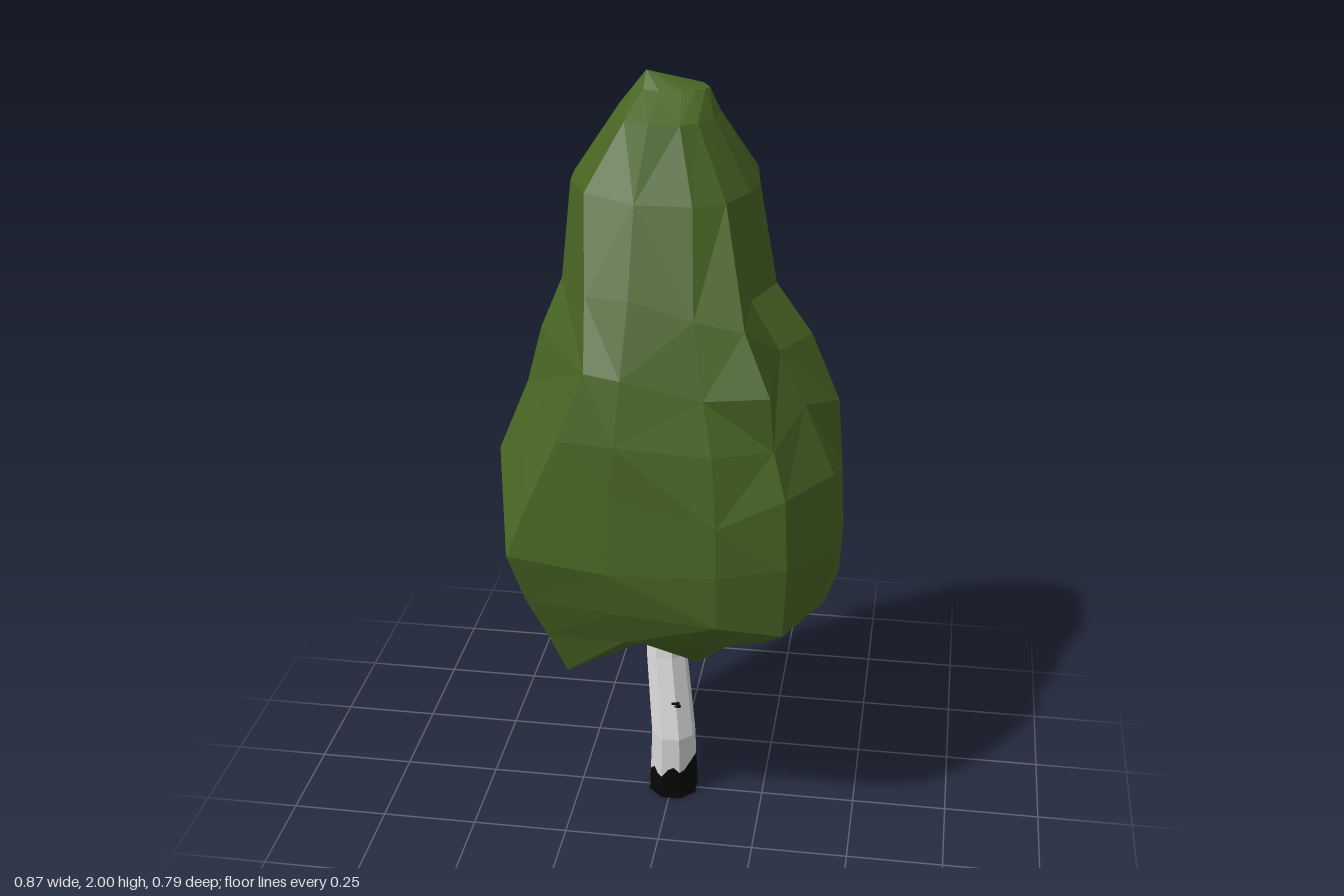
import * as THREE from 'three';

const foliage = new THREE.MeshStandardMaterial({ color: 0x486624 });
const bark = new THREE.MeshStandardMaterial({ color: 0xdadada });
const darkBark = new THREE.MeshStandardMaterial({ color: 0x060606 });
foliage.name = 'leaf green';
bark.name = 'pale bark';
darkBark.name = 'black bark';

// Repeatable noise in -1..1
const noise = (a, b) => {
  const s = Math.sin(a * 12.99 + b * 78.23) * 43758.55;
  return (s - Math.floor(s)) * 2 - 1;
};

// Faceted skin over rings of points, listed bottom to top; optional end points close it
function skin(rings, bottom, top) {
  const pos = [];
  const tri = (a, b, c) => pos.push(...a, ...b, ...c);
  const n = rings[0].length;
  for (let i = 0; i < n; i++) {
    const k = (i + 1) % n;
    for (let j = 0; j < rings.length - 1; j++) {
      const a = rings[j][i], b = rings[j][k], c = rings[j + 1][i], d = rings[j + 1][k];
      if (noise(i, j + 7) > 0) { tri(a, c, b); tri(b, c, d); }
      else { tri(a, c, d); tri(a, d, b); }
    }
    if (bottom) tri(rings[0][i], rings[0][k], bottom);
    if (top) tri(rings[rings.length - 1][k], rings[rings.length - 1][i], top);
  }
  const g = new THREE.BufferGeometry();
  g.setAttribute('position', new THREE.Float32BufferAttribute(pos, 3));
  g.computeVertexNormals(); // unshared corners give flat facets
  return g;
}

function named(name, geometry, material) {
  const m = new THREE.Mesh(geometry, material);
  m.name = name;
  return m;
}

// Crown: one lopsided plan outline, fitted to the reach of each level
const outline = [
  [-0.44, 0.08], [-0.43, -0.06], [-0.29, -0.25], [-0.17, -0.365], [0.03, -0.4],
  [0.19, -0.355], [0.35, -0.23], [0.435, -0.02], [0.425, 0.15], [0.335, 0.34],
  [0.165, 0.395], [-0.1, 0.39], [-0.35, 0.375],
];
// height, reach to -x, +x, +z, -z, roundness
const levels = [
  [0.58, 0.20, 0.20, 0.20, 0.22, 0.5],
  [0.64, 0.33, 0.36, 0.33, 0.33, 0.3],
  [0.72, 0.41, 0.43, 0.375, 0.37, 0.1],
  [0.87, 0.43, 0.435, 0.395, 0.39, 0],
  [1.04, 0.435, 0.43, 0.395, 0.375, 0.4],
  [1.20, 0.36, 0.42, 0.395, 0.345, 0.7],
  [1.34, 0.31, 0.35, 0.365, 0.305, 0.75],
  [1.50, 0.26, 0.255, 0.30, 0.27, 0.75],
  [1.74, 0.245, 0.215, 0.22, 0.21, 0.7],
  [1.91, 0.135, 0.115, 0.16, 0.11, 0.8],
  [1.965, 0.09, 0.088, 0.06, 0.07, 0.8],
];
// dents and bulges: column, first level, last level, scale
const dents = [
  [8, 5, 7, 0.85], // groove in front of the side bulge
  [2, 6, 8, 1.17], [9, 6, 6, 1.14], [9, 7, 7, 1.2], [6, 8, 8, 1.1], // fuller shoulders
  [2, 1, 2, 0.95], [5, 1, 2, 0.96], [6, 1, 2, 0.91], // undercut at the back
];
// ridge up the front left corner, from its hanging tip upward
const ridge = [
  [-0.23, 0.51, 0.26], [-0.27, 0.63, 0.295], [-0.315, 0.75, 0.335], [-0.35, 0.89, 0.375],
  [-0.3, 1.02, 0.37], [-0.22, 1.2, 0.365], [-0.155, 1.37, 0.35], [-0.165, 1.53, 0.27],
  [-0.18, 1.75, 0.175],
];

function crownGeometry() {
  const rings = levels.map(([y, xl, xr, zf, zb, round], j) => outline.map(([ox, oz], i) => {
    const u = ox / (ox < 0 ? 0.44 : 0.435), v = oz / (oz < 0 ? 0.4 : 0.395);
    let r = 1 + (1 / Math.hypot(u, v) - 1) * round;
    r *= 1 + 0.025 * noise(i, j);
    for (const [col, from, to, scale] of dents) if (i === col && j >= from && j <= to) r *= scale;
    const lift = j > 1 && j < 8 ? 0.035 * noise(i + 31, j) : 0;
    return [u * r * (u < 0 ? xl : xr), y + lift, v * r * (v < 0 ? zb : zf)];
  }));
  ridge.forEach((p, j) => { rings[j][12] = p; });
  // second hanging tip, and the flanks of both
  rings[0][0] = [-0.27, 0.585, 0.08];
  rings[0][11] = [-0.05, 0.57, 0.2];
  rings[0][10] = [0.09, 0.49, 0.14];
  rings[0][9] = [0.2, 0.57, 0.14];
  return skin(rings, [0, 0.6, 0], [-0.06, 2.0, 0]);
}

// Trunk: bent eight-sided stem; each side is cut in three for the ragged dark foot
const stem = [ // height, centre x, centre z, radius
  [0, 0.005, -0.002, 0.068], [0.2, 0.008, 0.022, 0.06],
  [0.43, -0.016, -0.012, 0.055], [0.66, -0.012, -0.022, 0.05],
];
const COLS = 24;

function stemPoint(col, y) {
  let s = 0;
  while (s < stem.length - 2 && y > stem[s + 1][0]) s++;
  const t = (y - stem[s][0]) / (stem[s + 1][0] - stem[s][0]);
  const [, cx, cz, r] = stem[s].map((v, k) => THREE.MathUtils.lerp(v, stem[s + 1][k], t));
  const side = Math.floor(col / 3), f = (col % 3) / 3;
  const along = (fn) => THREE.MathUtils.lerp(
    fn((side - 0.5) * Math.PI / 4), fn((side + 0.5) * Math.PI / 4), f);
  return [cx + r * along(Math.cos), y, cz + r * along(Math.sin)];
}

const stemRing = (height) => Array.from({ length: COLS }, (_, col) =>
  stemPoint(col, typeof height === 'function' ? height(col) : height));

export function createModel() {
  const tree = new THREE.Group();
  tree.name = 'tree';
  tree.add(named('crown', crownGeometry(), foliage));

  // dark foot reaches highest on the +x side
  const ragged = (c) => 0.1 + 0.025 * Math.cos(c * Math.PI / 12) + 0.018 * noise(c, 3);
  const trunk = new THREE.Group();
  trunk.name = 'trunk';
  trunk.add(named('stem', skin([ragged, 0.2, 0.43, 0.66].map(stemRing)), bark));
  trunk.add(named('darkFoot', skin([0, ragged].map(stemRing)), darkBark));

  // Cut end under the foot
  const cutEnd = new THREE.CircleGeometry(0.068, 8, Math.PI / 8).rotateX(Math.PI / 2);
  cutEnd.translate(0.005, 0, -0.002);
  trunk.add(named('cutEnd', cutEnd, bark));

  // Small bark scars on the front
  for (const [x, y, w] of [[0.018, 0.305, 0.02], [0.024, 0.297, 0.016]]) {
    const scar = named('barkScar', new THREE.BoxGeometry(w, 0.005, 0.008), darkBark);
    scar.position.set(x, y, 0.059);
    trunk.add(scar);
  }
  tree.add(trunk);
  return tree;
}
